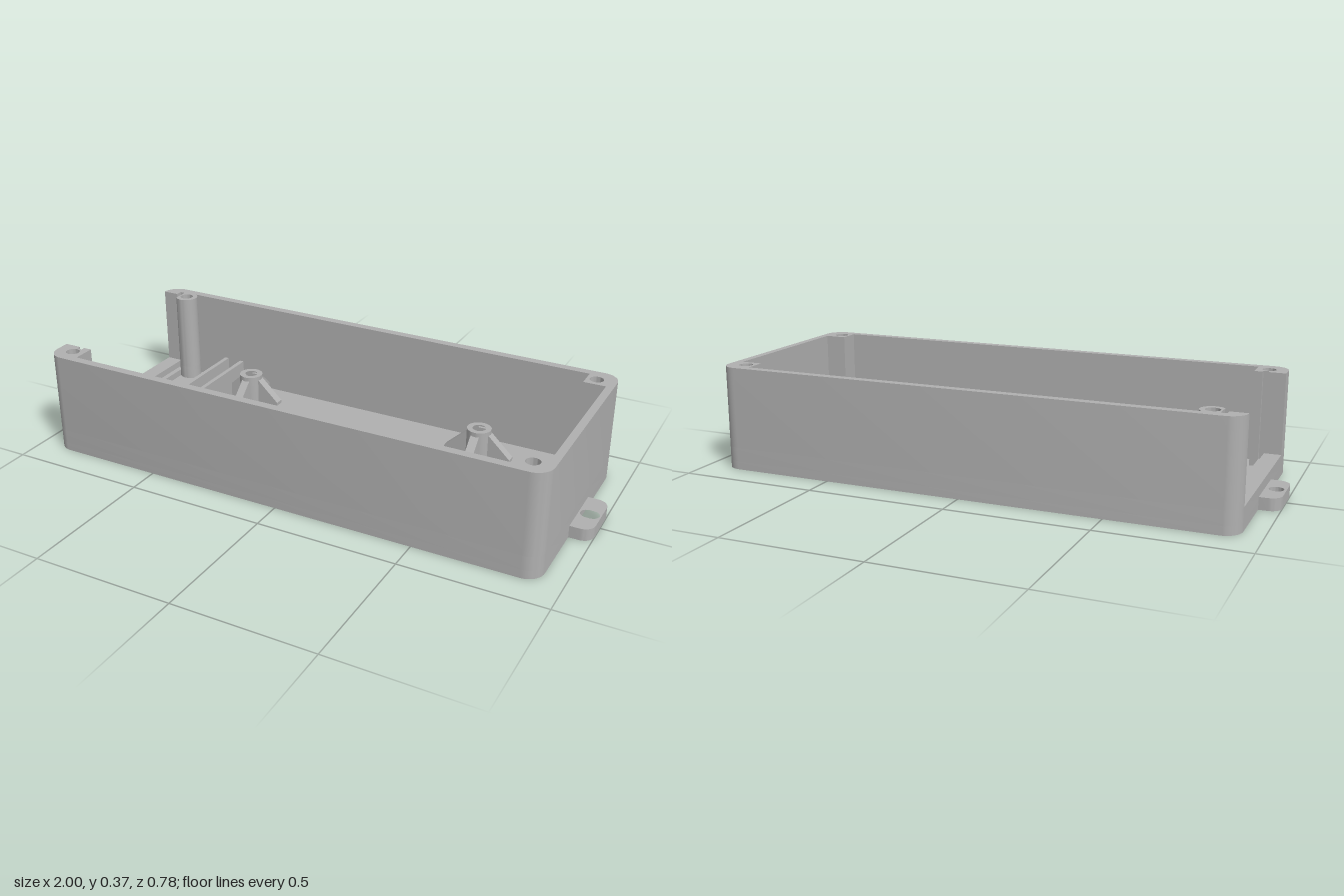
import * as THREE from 'three';
import { toCreasedNormals } from 'three/addons/utils/BufferGeometryUtils.js';

const plastic = new THREE.MeshStandardMaterial({ color: 0xb0b0b0 });
plastic.name = 'grey plastic';

const FLOOR = 0.03, SILL = 0.08, TOP = 0.37;

// points on an arc in plan, as [x, z]
function arc(cx, cz, r, a0, a1, n = 10) {
  return Array.from({ length: n + 1 }, (_, i) => {
    const a = a0 + (a1 - a0) * i / n;
    return [cx + r * Math.cos(a), cz + r * Math.sin(a)];
  });
}
const circle = (x, z, r, n = 32) => arc(x, z, r, 0, 2 * Math.PI * (n - 1) / n, n - 1);
const toVectors = (pts) => pts.map(([x, z]) => new THREE.Vector2(x, -z));

// upright slab from a plan outline with holes
function slab(name, outline, holes, y0, y1) {
  const shape = new THREE.Shape(toVectors(outline));
  shape.holes = holes.map((h) => new THREE.Path(toVectors(h)));
  let geo = new THREE.ExtrudeGeometry(shape, { depth: y1 - y0, bevelEnabled: false });
  geo.rotateX(-Math.PI / 2).translate(0, y0, 0);
  geo = toCreasedNormals(geo, 0.6);
  const mesh = new THREE.Mesh(geo, plastic);
  mesh.name = name;
  return mesh;
}

function box(name, x0, x1, y0, y1, z0, z1) {
  const mesh = new THREE.Mesh(new THREE.BoxGeometry(x1 - x0, y1 - y0, z1 - z0), plastic);
  mesh.position.set((x0 + x1) / 2, (y0 + y1) / 2, (z0 + z1) / 2);
  mesh.name = name;
  return mesh;
}

// four triangular braces around a standoff
function gussets(x, z) {
  const group = new THREE.Group();
  group.name = 'standoffGussets';
  const profile = [[0.032, FLOOR], [0.125, FLOOR], [0.125, 0.042], [0.042, 0.12], [0.032, 0.12]];
  const shape = new THREE.Shape(profile.map(([r, y]) => new THREE.Vector2(r, y)));
  const geo = new THREE.ExtrudeGeometry(shape, { depth: 0.032, bevelEnabled: false });
  geo.translate(0, 0, -0.016);
  for (let i = 0; i < 4; i++) {
    const arm = new THREE.Mesh(geo, plastic);
    arm.name = 'gusset';
    arm.rotation.y = i * Math.PI / 2;
    group.add(arm);
  }
  group.position.set(x, 0, z);
  return group;
}

export function createModel() {
  const model = new THREE.Group();
  model.name = 'enclosure';
  const P = Math.PI;

  // outer outline, from the open end around the front, closed end and back
  const outer = [
    ...arc(-0.87, 0.33, 0.06, P, P / 2),
    ...arc(0.865, 0.33, 0.06, P / 2, 0),
    ...arc(0.865, -0.33, 0.06, 0, -P / 2),
    ...arc(-0.87, -0.33, 0.06, -P / 2, -P),
  ];
  // inner outline with panel grooves, round post and square corner posts
  const inner = [
    [-0.87, -0.33], [-0.87, -0.355], [-0.85, -0.355],
    ...arc(-0.82, -0.325, 0.042, 2.37, -0.99, 20),
    [0.82, -0.36], [0.82, -0.285], [0.898, -0.285],
    [0.898, 0.285], [0.82, 0.285], [0.82, 0.36],
    [-0.82, 0.36], [-0.82, 0.28], [-0.85, 0.28],
    [-0.85, 0.295], [-0.87, 0.295], [-0.87, 0.28],
  ];
  const screwHoles = [[-0.82, -0.325], [0.855, -0.325], [0.855, 0.325], [-0.865, 0.325]]
    .map(([x, z]) => circle(x, z, 0.024));

  model.add(slab('floor', outer, [], 0, FLOOR));
  model.add(slab('lowerWall', outer, [inner], FLOOR, SILL));
  model.add(slab('upperWall', [[-0.93, 0.28], ...outer, ...inner], screwHoles, SILL, TOP));
  model.add(box('panelStep', -0.875, -0.85, 0.02, 0.055, -0.34, 0.29));

  // mounting tabs
  const rightTab = [[0.92, -0.105], ...arc(0.96, -0.065, 0.04, -P / 2, 0),
    ...arc(0.96, 0.06, 0.04, 0, P / 2), [0.92, 0.1]];
  const slot = [...arc(0.97, 0, 0.025, -P / 2, P / 2), ...arc(0.955, 0, 0.025, P / 2, 1.5 * P)];
  model.add(slab('leftMountingTab', rightTab, [slot], 0, 0.043));
  const mirrored = rightTab.map(([x, z]) => [-x, z]);
  model.add(slab('rightMountingTab', mirrored, [circle(-0.967, 0, 0.025)], 0, 0.043));
  model.add(box('tabLedge', 0.88, 0.91, 0.02, 0.043, -0.1, 0.095));

  // board standoffs
  const standoffs = [[-0.48, -0.25], [0.48, -0.235], [-0.47, 0.245], [0.42, 0.225]];
  standoffs.forEach(([x, z], i) => {
    model.add(slab('standoff', circle(x, z, 0.044), [circle(x, z, 0.024)], FLOOR, 0.135));
    model.add(i === 2 ? gussets(-0.52, 0.22) : gussets(x, z));
  });
  // offset hub beside the shifted standoff, cut back clear of its hole
  model.add(slab('standoffHub', arc(-0.52, 0.22, 0.044, 0.9, 0.03 + 1.7 * P, 24), [], FLOOR, 0.12));

  // divider ribs
  for (const x of [-0.64, -0.57]) model.add(box('backRib', x - 0.008, x + 0.008, 0.02, 0.14, -0.325, -0.01));
  for (const x of [-0.61, -0.54]) model.add(box('frontRib', x - 0.008, x + 0.008, 0.02, 0.14, 0, 0.32));

  return model;
}
